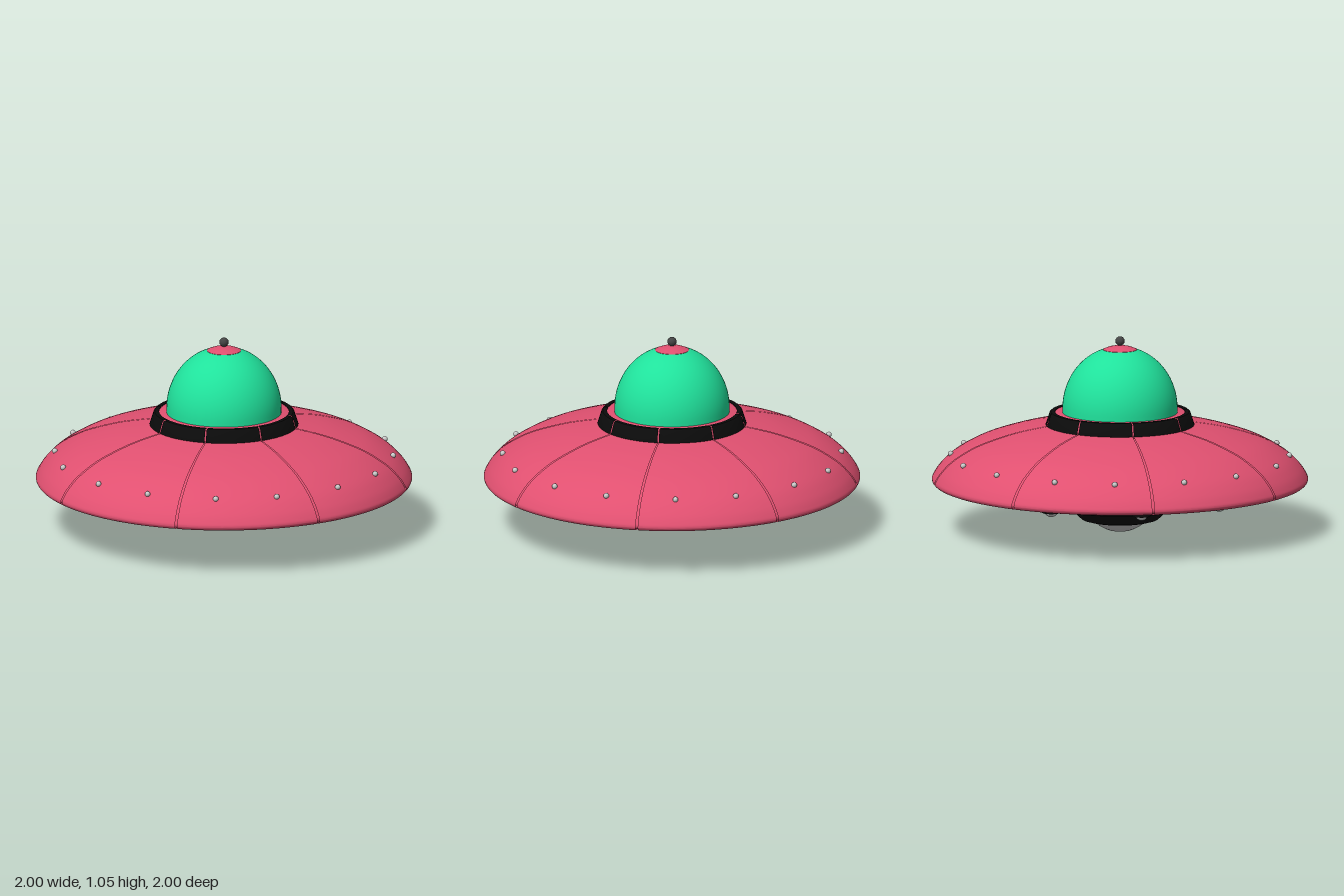
import * as THREE from 'three';
import { toCreasedNormals } from 'three/addons/utils/BufferGeometryUtils.js';

const mat = (color, side = THREE.FrontSide) => new THREE.MeshStandardMaterial({ color, side });
const red = mat(0xe05070, THREE.DoubleSide);
const black = mat(0x0b0b0b, THREE.DoubleSide);
const green = mat(0x20e29c);
const dark = mat(0x444444);
const grey = mat(0xcccccc);

const vec = (pts) => pts.map(([x, y]) => new THREE.Vector2(x, y));

// Turned part; profile runs from the underside outward and up
function turned(name, pts, material, segments = 96, start = 0, length = Math.PI * 2) {
  const g = new THREE.LatheGeometry(pts, segments, start, length);
  const mesh = new THREE.Mesh(toCreasedNormals(g, 0.5), material);
  mesh.name = name;
  return mesh;
}

function ball(name, radius, material, x, y, z, w = 16, h = 12) {
  const mesh = new THREE.Mesh(new THREE.SphereGeometry(radius, w, h), material);
  mesh.name = name;
  mesh.position.set(x, y, z);
  return mesh;
}

export function createModel() {
  const model = new THREE.Group();
  model.name = 'flyingSaucer';

  // Saucer skin profile: flat underside, tight rim, domed top
  const skin = [
    ...vec([[0.69, 0.234], [0.85, 0.246]]),
    ...new THREE.SplineCurve(vec([
      [0.96, 0.258], [0.988, 0.265], [1, 0.283], [0.99, 0.308], [0.96, 0.35], [0.9, 0.407],
      [0.8, 0.467], [0.7, 0.507], [0.55, 0.55], [0.38, 0.58],
    ])).getPoints(36),
  ];

  // Inner body seen at the bottom of the panel grooves
  const core = skin.map((p) => new THREE.Vector2(p.x * 0.985, 0.3 + (p.y - 0.3) * 0.955));
  model.add(turned('innerHull', core, red));

  // Eight hull panels and collar segments separated by narrow gaps
  const step = Math.PI / 4;
  const collar = vec([[0.38, 0.57], [0.395, 0.578], [0.375, 0.64], [0.368, 0.647], [0.345, 0.647], [0.345, 0.57]]);
  for (let i = 0; i < 8; i++) {
    const gap = 0.006;
    model.add(turned('hullPanel', skin, red, 16, i * step + gap, step - gap * 2));
    const cg = 0.01;
    model.add(turned('collarSegment', collar, black, 12, i * step + cg, step - cg * 2));
  }

  // Deck inside the collar
  model.add(turned('deck', vec([[0.36, 0.56], [0.36, 0.635], [0.345, 0.643], [0.28, 0.643]]), red));

  // Canopy dome and its cap
  const dome = [];
  for (let i = 0; i <= 32; i++) {
    const a = (i / 32) * Math.PI / 2;
    dome.push(new THREE.Vector2(0.306 * Math.cos(a), 0.665 + 0.33 * Math.sin(a)));
  }
  dome.unshift(new THREE.Vector2(0.306, 0.63));
  model.add(turned('canopy', dome, green, 64));
  model.add(turned('canopyCap',
    vec([[0.09, 0.97], [0.09, 0.982], [0.06, 0.994], [0.03, 1], [0, 1.002]]), red, 48));
  model.add(ball('antennaTip', 0.025, dark, 0, 1.027, 0, 12, 8));

  // Rivets, two to a panel
  for (let i = 0; i < 16; i++) {
    const a = Math.floor(i / 2) * step + step / 2 + (i % 2 ? 1 : -1) * 0.183;
    model.add(ball('rivet', 0.015, grey, Math.sin(a) * 0.9, 0.414, Math.cos(a) * 0.9, 12, 8));
  }

  // Stepped underbody with central lens
  model.add(turned('underbody', vec([
    [0, 0.06], [0.17, 0.06], [0.205, 0.07], [0.3, 0.158], [0.48, 0.165], [0.55, 0.185],
    [0.57, 0.222], [0.7, 0.228], [0.715, 0.238],
  ]), black));
  const lens = [];
  for (let i = 0; i <= 14; i++) {
    const a = (i / 14) * 0.8;
    lens.push(new THREE.Vector2(0.2 * Math.sin(a), 0.2 - 0.2 * Math.cos(a)));
  }
  model.add(turned('bellyLens', lens, grey, 48));

  // Ring of eight landing lamps in short housings
  for (let i = 0; i < 8; i++) {
    const x = Math.sin(i * step) * 0.642, z = Math.cos(i * step) * 0.642;
    const housing = new THREE.Mesh(new THREE.CylinderGeometry(0.048, 0.048, 0.04, 24), black);
    housing.name = 'lampHousing';
    housing.position.set(x, 0.215, z);
    model.add(housing, ball('lamp', 0.038, grey, x, 0.21, z, 20, 14));
  }

  return model;
}
